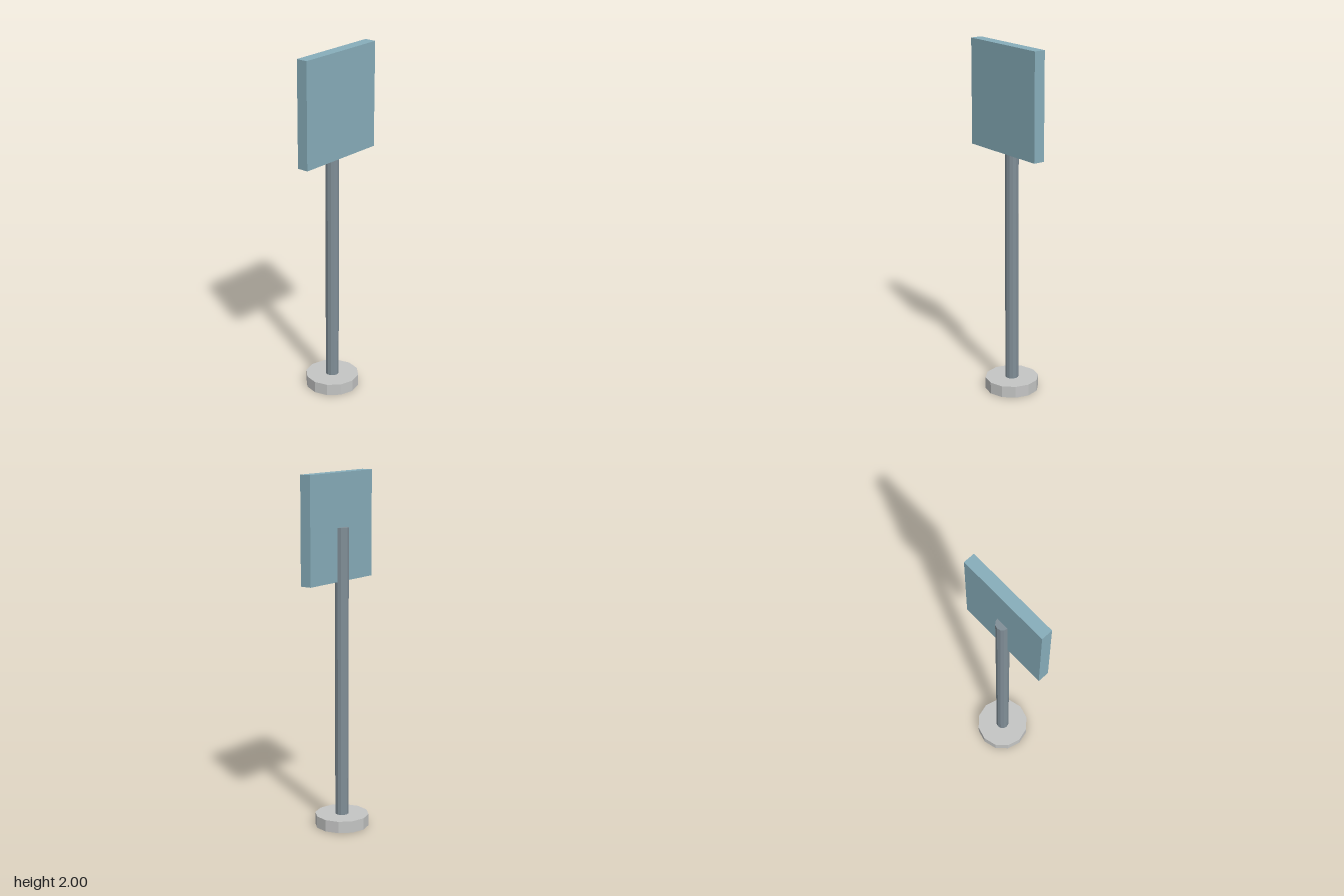
import * as THREE from 'three';

const material = (name, color) => {
  const m = new THREE.MeshStandardMaterial({ color, flatShading: true });
  m.name = name;
  return m;
};

export function createModel() {
  const group = new THREE.Group();
  group.name = 'signPost';

  const baseGrey = material('light grey', 0xc4c5c4);
  const poleGrey = material('blue grey steel', 0x808e97);
  const panelBlue = material('dusty blue', 0x87adba);

  const add = (name, geometry, mat, y, z = 0) => {
    const mesh = new THREE.Mesh(geometry, mat);
    mesh.name = name;
    mesh.position.set(0, y, z);
    group.add(mesh);
  };

  // twelve-sided foot, raised a hair so the pole's end shows underneath
  add('base', new THREE.CylinderGeometry(0.153, 0.153, 0.067, 12), baseGrey, 0.0355);

  // pole running through the foot up to the middle of the panel
  add('pole', new THREE.CylinderGeometry(0.038, 0.038, 1.702, 12), poleGrey, 0.851);

  // square sign panel, mounted on the front half of the pole
  add('signPanel', new THREE.BoxGeometry(0.552, 0.595, 0.066), panelBlue, 1.7025, 0.033);

  return group;
}
